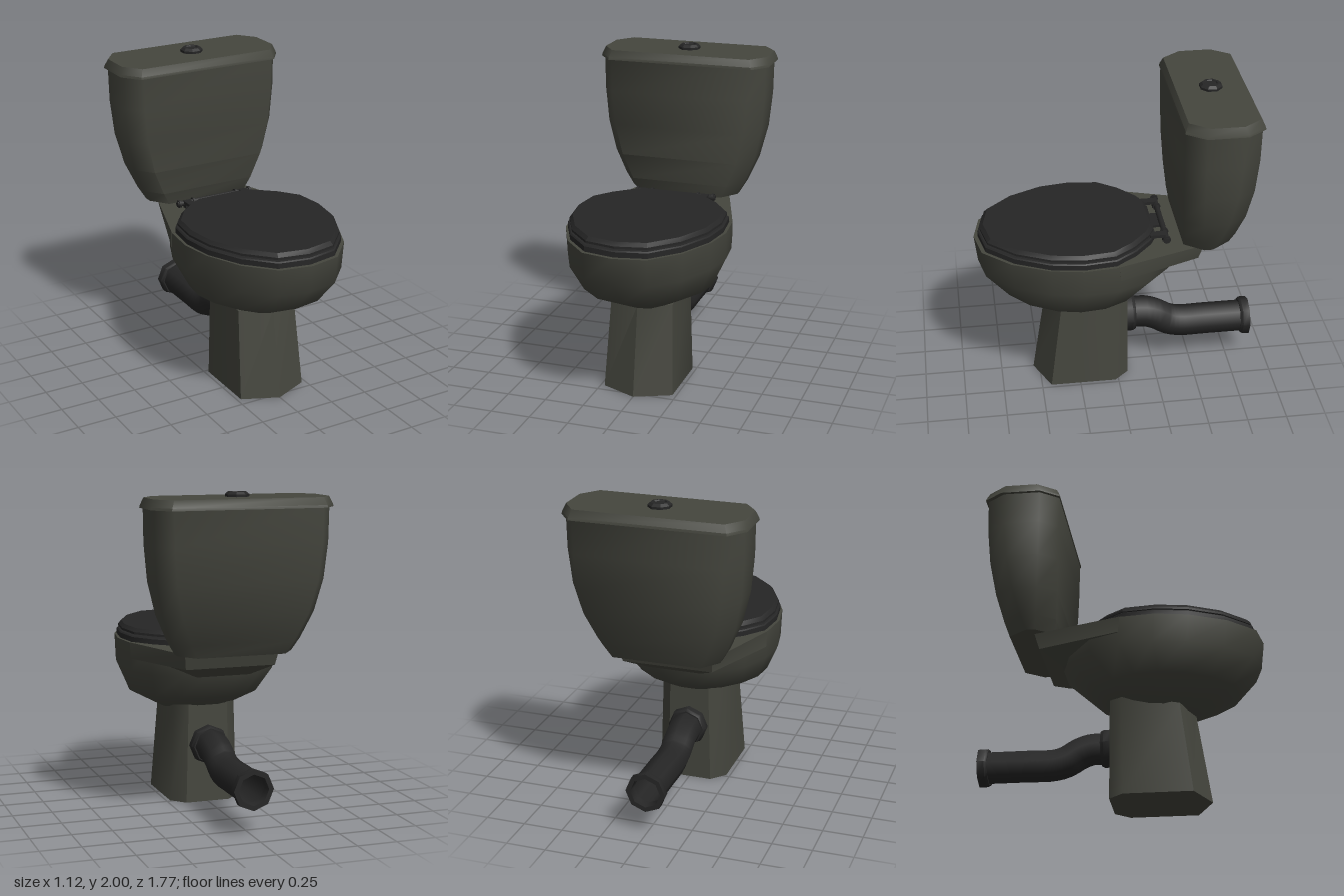
import * as THREE from 'three';
import { toCreasedNormals } from 'three/addons/utils/BufferGeometryUtils.js';

const ceramic = new THREE.MeshStandardMaterial({ color: 0x45463e });
ceramic.name = 'ceramic';
const plastic = new THREE.MeshStandardMaterial({ color: 0x262626 });
plastic.name = 'dark plastic';
const plasticOpen = plastic.clone();
plasticOpen.name = 'dark plastic two sided';
plasticOpen.side = THREE.DoubleSide;

// Half outline [x, z] from front to back, mirrored into a closed ring
function mirror(half) {
  const other = half.filter(p => p[0] > 0).reverse().map(([x, z]) => [-x, z]);
  return [...half, ...other];
}

// Closed skin over rings of [x, y, z], listed from bottom to top
function loft(rings, crease = 0.95) {
  const n = rings[0].length, pos = rings.flat(2), index = [];
  for (let r = 0; r < rings.length - 1; r++) {
    for (let i = 0; i < n; i++) {
      const a = r * n + i, b = r * n + (i + 1) % n;
      index.push(a, b, b + n, a, b + n, a + n);
    }
  }
  // End caps
  [0, rings.length - 1].forEach((r, top) => {
    const c = pos.length / 3;
    for (let k = 0; k < 3; k++) pos.push(rings[r].reduce((s, p) => s + p[k], 0) / n);
    for (let i = 0; i < n; i++) {
      const a = r * n + i, b = r * n + (i + 1) % n;
      if (top) index.push(c, a, b); else index.push(c, b, a);
    }
  });
  const g = new THREE.BufferGeometry();
  g.setAttribute('position', new THREE.Float32BufferAttribute(pos, 3));
  g.setIndex(index);
  return toCreasedNormals(g, crease);
}

// Rectangle with cut corners
function octagonRing(y, w, front, back, cx = 0.085, cz = 0.115) {
  return mirror([[w - cx, front], [w, front - cz], [w, back + cz], [w - cx, back]])
    .map(([x, z]) => [x, y, z]);
}

export function createModel() {
  const model = new THREE.Group();
  const add = (name, geometry, material, x = 0, y = 0, z = 0) => {
    const m = new THREE.Mesh(geometry, material);
    m.name = name;
    m.position.set(x, y, z);
    model.add(m);
    return m;
  };

  // Pedestal, with its top rising towards the back
  const foot = mirror([[0, 0.54], [0.225, 0.44], [0.225, 0.02], [0.143, -0.07]]);
  const footTop = foot.map(([x, z]) => {
    const tz = -0.07 + (z + 0.07) * 0.52 / 0.61;
    return [x * 0.89, 0.575 + 0.08 * Math.max(0, (0.3 - tz) / 0.37), tz];
  });
  add('pedestal', loft([foot.map(([x, z]) => [x, 0, z]), footTop], 0.8), ceramic);

  // Bowl: one oval scaled at each level [y front, y back, half width, front, back]
  const oval = mirror([[0, 1], [0.4, 0.935], [0.72, 0.66], [0.93, 0.29], [1, -0.03],
    [0.96, -0.37], [0.8, -0.68], [0.5, -0.92], [0.22, -1]]);
  const bowl = [
    [0.56, 0.63, 0.2, 0.45, -0.08], [0.69, 0.69, 0.42, 0.715, -0.17],
    [0.86, 0.86, 0.495, 0.865, -0.36], [1.035, 1.035, 0.5, 0.885, -0.36],
  ].map(([yf, yb, w, f, b]) => oval.map(([x, t]) => [
    x * w, yf + (yb - yf) * Math.min(1, Math.max(0, (0.4 - t) / 1.4)), (f + b) / 2 + t * (f - b) / 2,
  ]));
  add('bowl', loft(bowl), ceramic);

  // Shelf behind the bowl that carries the tank
  const shelf = [
    [[0.38, 0.92, 0.02], [0.17, 0.865, -0.36]],
    [[0.478, 0.936, 0.02], [0.285, 0.94, -0.49]],
    [[0.48, 1.037, 0.03], [0.3, 1.037, -0.52]],
  ].map(([a, b]) => [a, b, [-b[0], b[1], b[2]], [-a[0], a[1], a[2]]]);
  add('tankShelf', loft(shelf, 0.3), ceramic);

  // Tank and its lid
  const tank = [
    [1.04, 0.36, -0.395, -0.68], [1.12, 0.405, -0.383, -0.708], [1.28, 0.472, -0.37, -0.753],
    [1.48, 0.518, -0.36, -0.788], [1.7, 0.537, -0.356, -0.806], [1.92, 0.54, -0.355, -0.81],
  ];
  add('tank', loft(tank.map(p => octagonRing(...p))), ceramic);
  add('tankLid', loft([
    octagonRing(1.91, 0.56, -0.35, -0.825), octagonRing(1.925, 0.557, -0.352, -0.822),
    octagonRing(1.97, 0.54, -0.372, -0.802),
  ], 0.85), ceramic);

  // Flush button
  const buttonProfile = [[0, 1.965], [0.07, 1.965], [0.072, 1.985], [0.055, 2],
    [0.042, 2], [0.038, 1.993], [0, 1.996]].map(p => new THREE.Vector2(...p));
  const button = new THREE.LatheGeometry(buttonProfile, 8);
  button.rotateY(Math.PI / 8);
  add('flushButton', toCreasedNormals(button, 0.5), plastic, 0, 0, -0.587);

  // Seat ring and cover share one outline
  const seatOutline = mirror([[0, 0.86], [0.195, 0.82], [0.35, 0.655], [0.452, 0.44],
    [0.482, 0.24], [0.46, 0.04], [0.365, -0.09], [0.24, -0.2], [0.17, -0.235]]);
  const seatRing = (y, s) => seatOutline.map(([x, z]) => [x * s, y, 0.31 + (z - 0.31) * s]);
  add('seat', loft([seatRing(1.033, 1), seatRing(1.068, 1), seatRing(1.075, 0.985)], 0.6), plastic);
  add('seatCover', loft([seatRing(1.084, 0.975), seatRing(1.098, 0.975), seatRing(1.12, 0.935)], 0.4), plastic);

  // Hinge rod, collars and brackets
  const rod = (name, r, length, x) => {
    const g = new THREE.CylinderGeometry(r, r, length, 8);
    g.rotateZ(Math.PI / 2);
    add(name, toCreasedNormals(g, 0.9), plastic, x, 1.07, -0.295);
  };
  rod('hingeRod', 0.018, 0.54, 0);
  for (const s of [-1, 1]) {
    for (const x of [0.155, 0.255]) rod('hingeCollar', 0.026, 0.014, s * x);
    add('hingeBracket', new THREE.BoxGeometry(0.05, 0.02, 0.1), plastic, s * 0.205, 1.08, -0.245);
    add('hingePost', new THREE.BoxGeometry(0.03, 0.04, 0.03), plastic, s * 0.205, 1.05, -0.29);
  }
  add('hingeTab', new THREE.BoxGeometry(0.15, 0.015, 0.06), plastic, 0, 1.062, -0.255);

  // Outlet pipe with an S bend
  const path = new THREE.CatmullRomCurve3([
    [0.375, -0.06], [0.375, -0.13], [0.372, -0.2], [0.345, -0.275],
    [0.3, -0.35], [0.28, -0.43], [0.28, -0.6], [0.28, -0.87],
  ].map(([y, z]) => new THREE.Vector3(0, y, z)));
  add('outletPipe', new THREE.TubeGeometry(path, 24, 0.104, 8), plasticOpen);

  // Pipe collars: closed ring profiles [radius, distance backwards]
  const collar = (name, profile, y, z) => {
    const g = new THREE.LatheGeometry(profile.map(p => new THREE.Vector2(...p)), 8);
    g.rotateX(-Math.PI / 2);
    add(name, toCreasedNormals(g, 0.9), plasticOpen, 0, y, z);
  };
  collar('wallCollar', [[0.09, 0], [0.125, 0], [0.125, 0.045], [0.113, 0.065], [0.09, 0.065]], 0.375, -0.068);
  collar('endCollar', [[0.09, 0], [0.113, 0], [0.125, 0.015], [0.125, 0.06], [0.095, 0.06], [0.09, 0]], 0.28, -0.83);

  return model;
}
